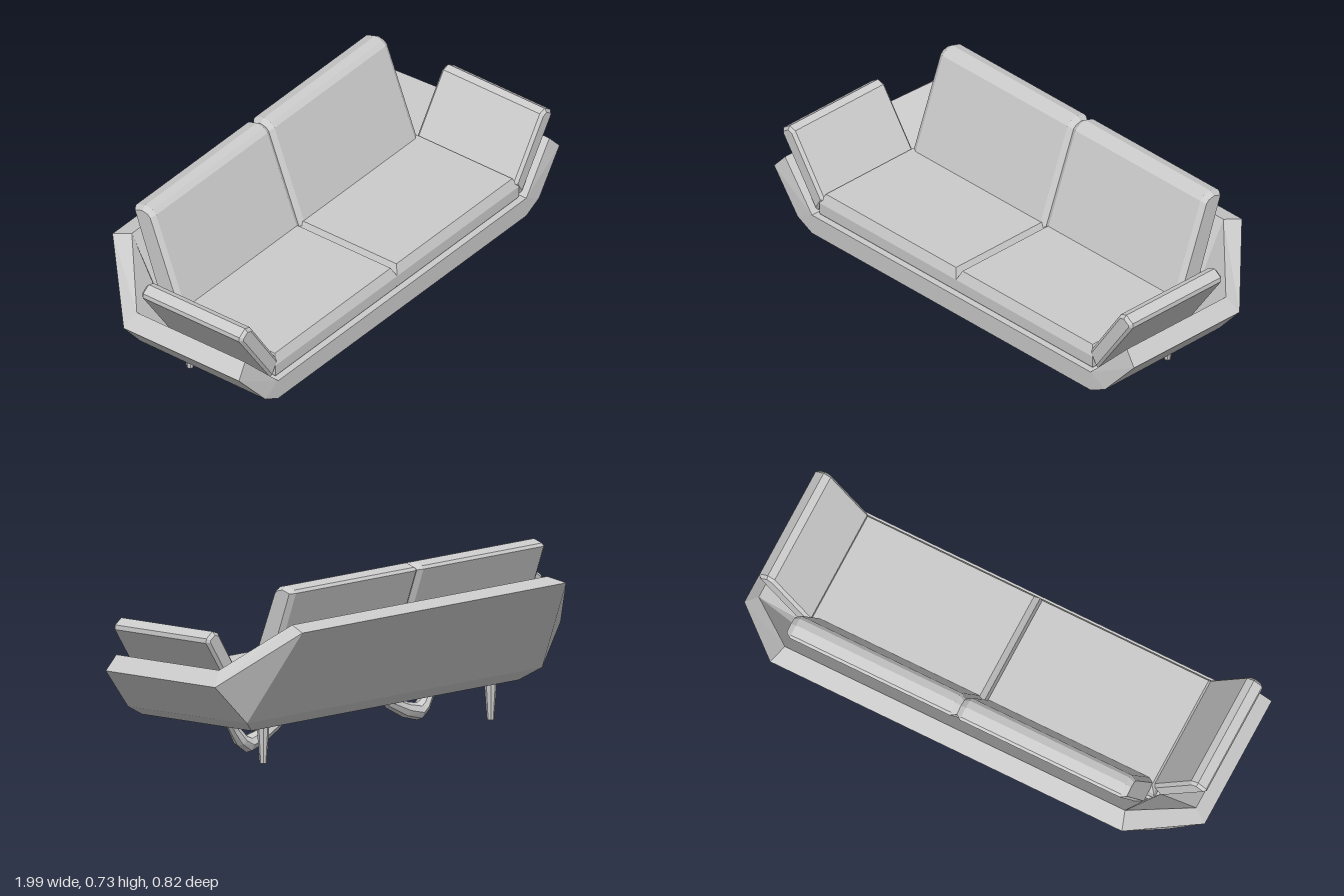
import * as THREE from 'three';

const material = new THREE.MeshStandardMaterial({ color: 0xcccccc, flatShading: true });

function addMesh(parent, name, geometry) {
  const mesh = new THREE.Mesh(geometry, material);
  mesh.name = name;
  parent.add(mesh);
  return mesh;
}

// Geometry from convex polygons, fanned into triangles; collapsed triangles are skipped
function fromPolygons(polygons) {
  const pos = [];
  for (const p of polygons) {
    for (let i = 1; i < p.length - 1; i++) {
      const tri = new THREE.Triangle(p[0], p[i], p[i + 1]);
      if (tri.getArea() < 1e-8) continue;
      for (const v of [tri.a, tri.b, tri.c]) pos.push(v.x, v.y, v.z);
    }
  }
  const g = new THREE.BufferGeometry();
  g.setAttribute('position', new THREE.Float32BufferAttribute(pos, 3));
  g.computeVertexNormals();
  return g;
}

// Extruded outline with a single chamfer that stays inside the outline and length
function chamfered(points, length, inset, thickness) {
  const shape = new THREE.Shape(points.map(([x, y]) => new THREE.Vector2(x, y)));
  const g = new THREE.ExtrudeGeometry(shape, {
    depth: length - 2 * thickness, bevelEnabled: true, bevelSegments: 1,
    bevelSize: inset, bevelThickness: thickness, bevelOffset: -inset,
  });
  return g.translate(0, 0, thickness);
}

// Tray-like shell: one cross-section per station, swept round sides and back
function shellGeometry() {
  const half = [
    // front end of the side
    [[0.77, 0.16, 0.41], [0.85, 0.2, 0.41], [0.995, 0.36, 0.395], [0.945, 0.418, 0.385], [0.77, 0.243, 0.41]],
    // rear end of the side
    [[0.77, 0.16, -0.155], [0.85, 0.205, -0.205], [0.995, 0.36, -0.17], [0.945, 0.418, -0.145], [0.77, 0.243, -0.1]],
    // side end of the back
    [[0.77, 0.16, -0.155], [0.85, 0.205, -0.205], [0.76, 0.57, -0.41], [0.735, 0.59, -0.335], [0.735, 0.243, -0.14]],
  ];
  const make = (s) => half.map((st) => st.map(([x, y, z]) => new THREE.Vector3(s * x, y, z)));
  const st = [...make(1), ...make(-1).reverse()];
  const faces = [];
  for (let i = 0; i < st.length - 1; i++) {
    for (let j = 0; j < 4; j++) {
      faces.push([st[i][j], st[i + 1][j], st[i + 1][j + 1], st[i][j + 1]]);
    }
  }
  const a = st[0], b = st[st.length - 1];
  faces.push([a[4], a[0], a[1], a[2], a[3]]);                // front ends
  faces.push([b[4], b[3], b[2], b[1], b[0]]);
  faces.push([b[0], a[0], a[4], b[4]]);                      // front strip
  faces.push(st.map((s) => s[4]));                           // floor
  faces.push(st.map((s) => s[0]).reverse());                 // underside
  return fromPolygons(faces);
}

// Bent front leg: eight-sided sections along a boomerang-shaped path
function frontLegGeometry() {
  // x, y, half height across the path, half width in z
  const path = [
    [0.612, 0.175, 0.017, 0.02], [0.56, 0.105, 0.022, 0.024], [0.525, 0.062, 0.027, 0.034],
    [0.49, 0.042, 0.034, 0.04], [0.42, 0.058, 0.031, 0.034], [0.33, 0.096, 0.024, 0.026],
    [0.205, 0.175, 0.014, 0.02],
  ];
  const rings = path.map(([x, y, h, w], i) => {
    const p = path[Math.max(i - 1, 0)], q = path[Math.min(i + 1, path.length - 1)];
    const t = new THREE.Vector2(q[0] - p[0], q[1] - p[1]).normalize();
    return Array.from({ length: 8 }, (_, k) => {
      const c = Math.cos(k * Math.PI / 4) * h, s = Math.sin(k * Math.PI / 4) * w;
      return new THREE.Vector3(x + t.y * c, y - t.x * c, s);
    });
  });
  const faces = [[...rings[0]], [...rings[rings.length - 1]].reverse()];
  for (let i = 0; i < rings.length - 1; i++) {
    for (let k = 0; k < 8; k++) {
      const n = (k + 1) % 8;
      faces.push([rings[i][k], rings[i + 1][k], rings[i + 1][n], rings[i][n]]);
    }
  }
  return fromPolygons(faces);
}

export function createModel() {
  const sofa = new THREE.Group();
  sofa.name = 'sofa';
  addMesh(sofa, 'shell', shellGeometry());

  // Outlines: arm cushion in x,y and back cushion in -z,y
  const armOutline = [[0.775, 0.248], [0.967, 0.52], [0.965, 0.538], [0.93, 0.562],
    [0.9, 0.552], [0.735, 0.31]];
  const backOutline = [[0.08, 0.31], [0.185, 0.29], [0.335, 0.71], [0.326, 0.722],
    [0.285, 0.735], [0.252, 0.727], [0.233, 0.71]];

  for (const side of [1, -1]) {
    const label = side > 0 ? 'left' : 'right';
    const turn = side > 0 ? 0 : Math.PI;

    // Seat cushion, chamfered along its top edges
    const x0 = side > 0 ? 0 : -0.755, x1 = x0 + 0.755;
    const seat = chamfered([[x0, -0.385], [x1, -0.385], [x1, 0.13], [x0, 0.13]], 0.125, 0.018, 0.04);
    addMesh(sofa, label + 'SeatCushion', seat.rotateX(-Math.PI / 2).translate(0, 0.21, 0));

    // Leaning back cushion
    const back = chamfered(backOutline, 0.735, 0.014, 0.022);
    addMesh(sofa, label + 'BackCushion', back.rotateY(Math.PI / 2).translate(side > 0 ? 0 : -0.735, 0, 0));

    // Arm cushion leaning outwards
    const arm = chamfered(armOutline, 0.495, 0.012, 0.012).translate(0, 0, -0.2475);
    const armMesh = addMesh(sofa, label + 'ArmCushion', arm);
    armMesh.position.z = 0.1375;
    armMesh.rotation.y = turn;

    // Legs
    const frontLeg = addMesh(sofa, label + 'FrontLeg', frontLegGeometry());
    frontLeg.position.z = 0.12;
    frontLeg.rotation.y = turn;
    const rearLeg = addMesh(sofa, label + 'RearLeg', new THREE.CylinderGeometry(0.025, 0.014, 0.155, 8));
    rearLeg.position.set(side * 0.655, 0.0925, -0.113);
  }
  return sofa;
}
